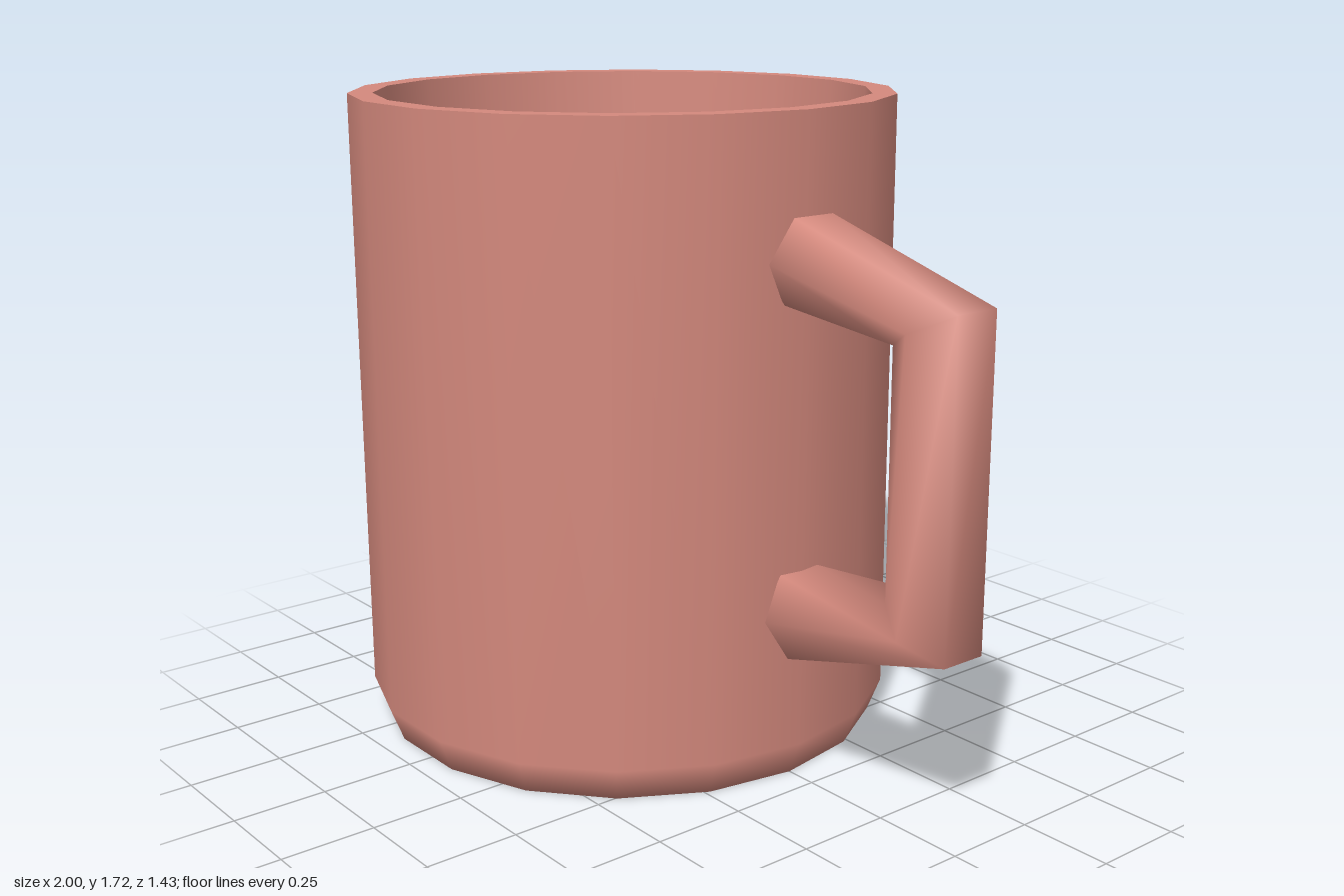
import * as THREE from 'three';

const SIDES = 18;
const CENTRE_X = -0.275;

// Hexagonal tube through stations given as [outerX, outerY, innerX, innerY]
function hexTube(stations, halfWidth) {
  const pos = [], index = [];
  const addRing = ([ox, oy, ix, iy]) => {
    const start = pos.length / 3, mx = (ox + ix) / 2, my = (oy + iy) / 2, h = halfWidth / 2;
    pos.push(ox, oy, h, ox, oy, -h, mx, my, -halfWidth, ix, iy, -h, ix, iy, h, mx, my, halfWidth);
    return start;
  };
  const rings = stations.map(addRing);
  for (let r = 0; r < rings.length - 1; r++) {
    for (let i = 0; i < 6; i++) {
      const a = rings[r] + i, b = rings[r] + (i + 1) % 6;
      const c = rings[r + 1] + i, d = rings[r + 1] + (i + 1) % 6;
      index.push(a, c, b, b, c, d);
    }
  }
  // End caps on their own vertices, so their edges stay sharp
  const first = addRing(stations[0]), last = addRing(stations[stations.length - 1]);
  for (let i = 1; i < 5; i++) {
    index.push(first, first + i, first + i + 1);
    index.push(last, last + i + 1, last + i);
  }
  const geo = new THREE.BufferGeometry();
  geo.setAttribute('position', new THREE.Float32BufferAttribute(pos, 3));
  geo.setIndex(index);
  geo.computeVertexNormals();
  return geo;
}

export function createModel() {
  const group = new THREE.Group();
  group.name = 'mug';
  const clay = new THREE.MeshStandardMaterial({ color: 0xd4897d, side: THREE.DoubleSide });
  clay.name = 'pink ceramic';
  const coffee = new THREE.MeshStandardMaterial({ color: 0x5f4a36 });
  coffee.name = 'coffee brown';

  const add = (name, geo, mat, x = 0, y = 0) => {
    const mesh = new THREE.Mesh(geo, mat);
    mesh.name = name;
    mesh.position.set(x, y, 0);
    group.add(mesh);
  };

  // Body: recessed foot, chamfer, outer wall, rim and inner wall (doubled points are creases)
  const profile = [
    [0, 0.1], [0.4, 0.1], [0.46, 0], [0.69, 0], [0.725, 0.09], [0.725, 1.72], [0.725, 1.72],
    [0.66, 1.72], [0.66, 1.72], [0.637, 1.27], [0.59, 0.2], [0, 0.18],
  ].map(([r, y]) => new THREE.Vector2(r, y));
  add('body', new THREE.LatheGeometry(profile, SIDES, Math.PI / 2), clay, CENTRE_X);

  // Drink surface
  add('drink', new THREE.CircleGeometry(0.637, SIDES).rotateX(-Math.PI / 2), coffee, CENTRE_X, 1.27);

  // Handle
  add('handle', hexTube([
    [0.47, 1.47, 0.435, 1.255],
    [1, 1.32, 0.805, 1.22],
    [1, 0.495, 0.805, 0.597],
    [0.47, 0.35, 0.435, 0.565],
  ], 0.125), clay);

  return group;
}
